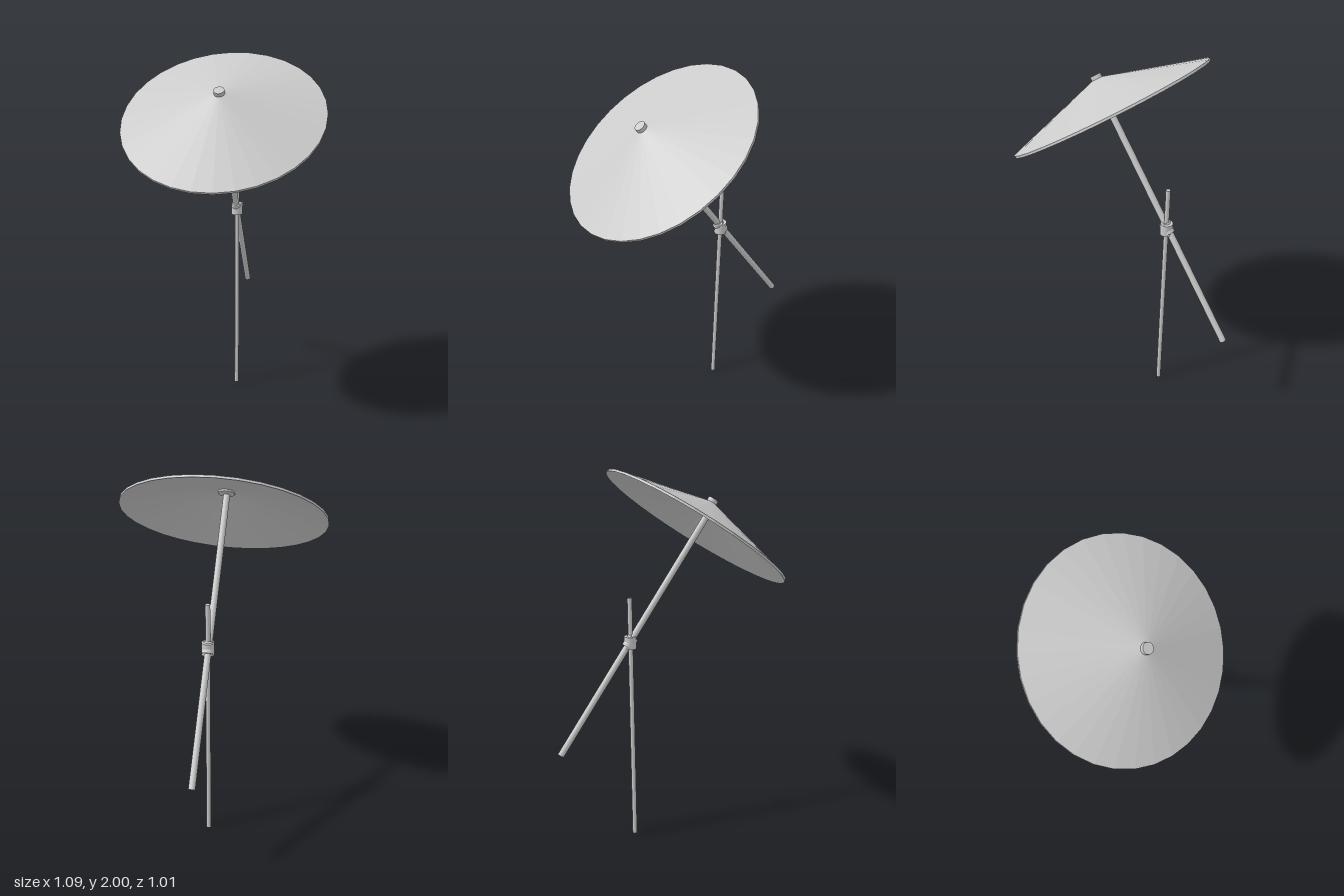
import * as THREE from 'three';

const UP = new THREE.Vector3(0, 1, 0);
const smooth = new THREE.MeshStandardMaterial({ color: 0xcccccc });
const faceted = new THREE.MeshStandardMaterial({ color: 0xcccccc, flatShading: true, side: THREE.DoubleSide });

// Round rod between two points
function rod(name, from, to, radius, sides = 16) {
  const dir = to.clone().sub(from);
  const mesh = new THREE.Mesh(new THREE.CylinderGeometry(radius, radius, dir.length(), sides), smooth);
  mesh.name = name;
  mesh.position.copy(from).add(to).multiplyScalar(0.5);
  mesh.quaternion.setFromUnitVectors(UP, dir.normalize());
  return mesh;
}

export function createModel() {
  const model = new THREE.Group();
  model.name = 'umbrellaOnStand';
  const v = (x, y, z) => new THREE.Vector3(x, y, z);

  // Upright stand
  model.add(rod('standPole', v(0.226, 0, -0.228), v(0.226, 1.36, -0.228), 0.0125));

  // Slanted shaft, from its free end up into the canopy
  const low = v(0.528, 0.55, -0.49), high = v(-0.126, 1.802, 0.066);
  model.add(rod('umbrellaShaft', low, high, 0.0175));

  // Clamp: upright sleeve crossed by a sleeve along the shaft
  const clamp = new THREE.Group();
  clamp.name = 'clamp';
  clamp.add(rod('poleSleeve', v(0.227, 1.091, -0.229), v(0.227, 1.157, -0.229), 0.033, 24));
  const along = high.clone().sub(low).normalize().multiplyScalar(0.03);
  const joint = v(0.227, 1.126, -0.231);
  clamp.add(rod('shaftSleeve', joint.clone().sub(along), joint.clone().add(along), 0.03, 24));
  model.add(clamp);

  // Tilted canopy, built upright around its own axis
  const canopy = new THREE.Group();
  canopy.name = 'canopy';
  canopy.position.set(-0.058, 1.698, 0.007);
  canopy.quaternion.setFromUnitVectors(UP, v(-0.426, 0.827, 0.368).normalize());

  // Shallow cone shell with a thin rim
  const profile = [[0, 0.143], [0.537, -0.006], [0.537, 0.006], [0.028, 0.155], [0, 0.16]];
  const shell = new THREE.Mesh(
    new THREE.LatheGeometry(profile.map(([r, y]) => new THREE.Vector2(r, y)), 32), faceted);
  shell.name = 'canopyShell';
  canopy.add(shell);

  // Tip cap above and hub below
  canopy.add(rod('tipCap', v(0, 0.14, 0), v(0, 0.176, 0), 0.028, 20));
  canopy.add(rod('innerHub', v(0, 0.122, 0), v(0, 0.14, 0), 0.044, 20));
  model.add(canopy);

  return model;
}
